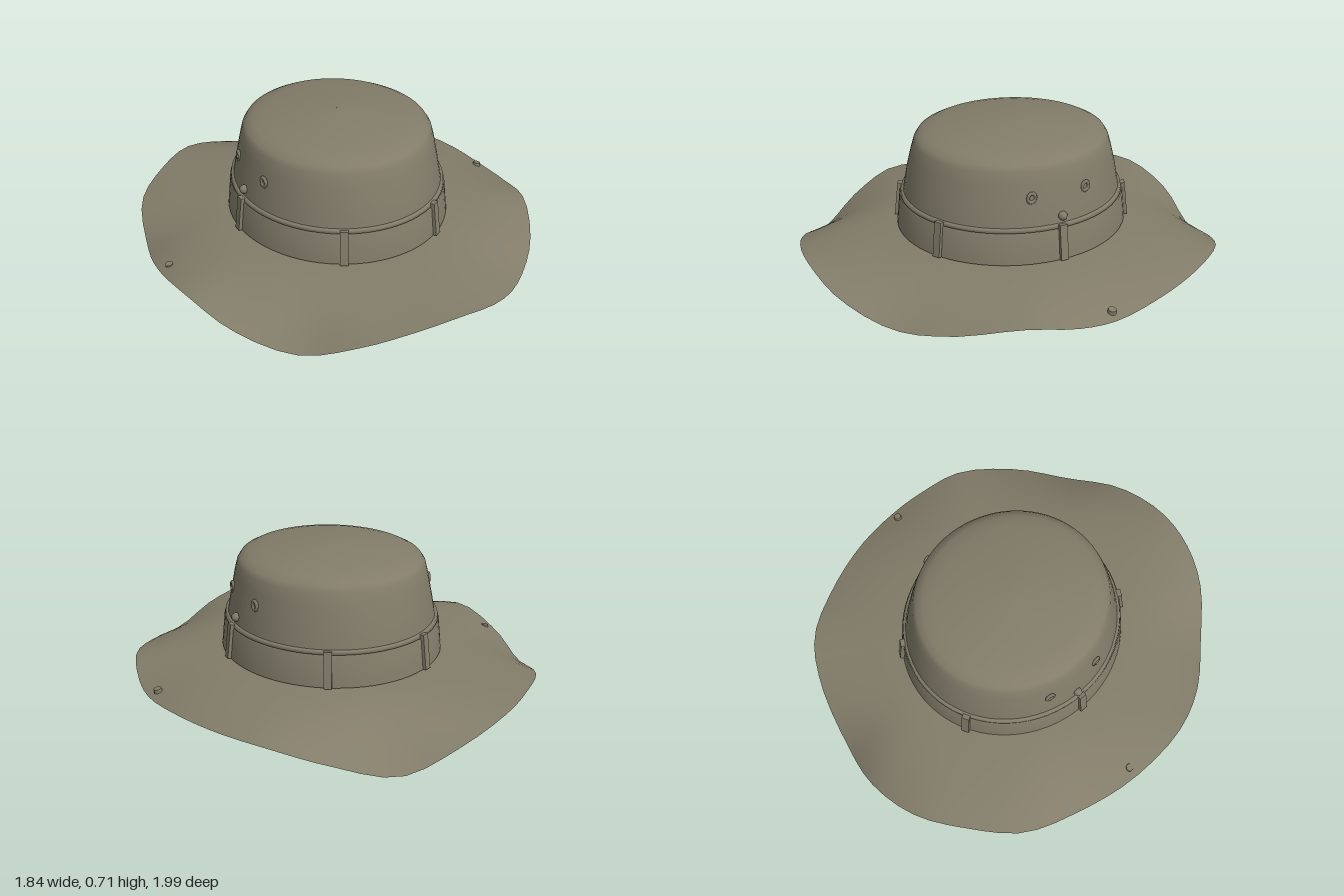
import * as THREE from 'three';

const SEGMENTS = 72;
const CENTRE_Z = -0.015;

// Skin a surface over closed rings of points, listed from the inside (or top) outward.
function loft(rings) {
  const n = rings[0].length, index = [];
  for (let r = 0; r < rings.length - 1; r++) {
    for (let i = 0; i < n; i++) {
      const j = (i + 1) % n;
      const a = r * n + i, b = r * n + j, c = a + n, d = b + n;
      index.push(a, b, c, c, b, d);
    }
  }
  const geometry = new THREE.BufferGeometry().setFromPoints(rings.flat());
  geometry.setIndex(index);
  geometry.computeVertexNormals();
  return geometry;
}

// Oval ring: y height, half width in x, half depth in z.
function oval(y, rx, rz) {
  return Array.from({ length: SEGMENTS }, (_, i) => {
    const a = (i / SEGMENTS) * Math.PI * 2;
    return new THREE.Vector3(Math.cos(a) * rx, y, CENTRE_Z + Math.sin(a) * rz);
  });
}

// Drooping brim edge as x, y, z, from the left side round by the front.
const EDGE = [
  [0.91, 0.12, 0.13], [0.86, 0.15, 0.35], [0.7, 0.1, 0.61], [0.5, 0.07, 0.79],
  [0.26, 0.13, 0.94], [0, 0.18, 0.99], [-0.21, 0.17, 0.97], [-0.41, 0.12, 0.89],
  [-0.61, 0.04, 0.72], [-0.8, 0.09, 0.5], [-0.9, 0.15, 0.26], [-0.92, 0.11, -0.05],
  [-0.87, 0.07, -0.32], [-0.78, 0.13, -0.6], [-0.6, 0.16, -0.79], [-0.39, 0.16, -0.94],
  [-0.13, 0.09, -1], [0.13, 0, -0.97], [0.42, 0.08, -0.89], [0.62, 0.14, -0.77],
  [0.77, 0.14, -0.54], [0.87, 0.13, -0.29], [0.915, 0.11, -0.05],
];

export function createModel() {
  const hat = new THREE.Group();
  hat.name = 'hat';
  const cloth = new THREE.MeshStandardMaterial({ color: 0x827c69, side: THREE.DoubleSide });
  cloth.name = 'olive cloth';

  const add = (name, geometry, parent = hat) => {
    const mesh = new THREE.Mesh(geometry, cloth);
    mesh.name = name;
    parent.add(mesh);
    return mesh;
  };

  // Wavy brim: flat near the crown, bending to the edge curve further out
  const edge = new THREE.CatmullRomCurve3(EDGE.map((p) => new THREE.Vector3(...p)), true);
  const outer = Array.from({ length: SEGMENTS }, (_, i) => edge.getPoint(i / SEGMENTS));
  const brimPoint = (p, t) => {
    const a = Math.atan2((p.z - CENTRE_Z) / 0.54, p.x / 0.505);
    const x = Math.cos(a) * 0.505, z = CENTRE_Z + Math.sin(a) * 0.54;
    const y = 0.21 - 0.035 * t + (p.y - 0.175) * Math.pow(t, 2.2);
    return new THREE.Vector3(x + (p.x - x) * t, y, z + (p.z - z) * t);
  };
  const steps = [0, 0.12, 0.25, 0.4, 0.55, 0.68, 0.8, 0.9, 1];
  add('brim', loft(steps.map((t) => outer.map((p) => brimPoint(p, t)))));

  // Crown: domed top, rounded shoulder and sloping wall, open underneath
  add('crown', loft([
    oval(0.708, 0.001, 0.001), oval(0.705, 0.1, 0.1), oval(0.693, 0.22, 0.23),
    oval(0.677, 0.33, 0.35), oval(0.662, 0.385, 0.41), oval(0.645, 0.418, 0.442),
    oval(0.62, 0.434, 0.458), oval(0.57, 0.446, 0.473), oval(0.48, 0.463, 0.496),
    oval(0.38, 0.482, 0.515), oval(0.205, 0.505, 0.54),
  ]));

  // Hat band with a thin piping along the top
  add('band', loft([
    oval(0.36, 0.48, 0.515), oval(0.355, 0.5, 0.535), oval(0.215, 0.515, 0.55),
  ]));
  add('bandPiping', loft([
    oval(0.38, 0.48, 0.513), oval(0.378, 0.494, 0.527),
    oval(0.362, 0.497, 0.53), oval(0.356, 0.485, 0.518),
  ]));

  // Six upright loops holding the band
  const loops = new THREE.Group();
  loops.name = 'bandLoops';
  hat.add(loops);
  for (const degrees of [0, 62, 118, 180, 242, 298]) {
    const a = THREE.MathUtils.degToRad(degrees);
    const holder = new THREE.Group();
    holder.position.set(Math.cos(a) * 0.504, 0.297, CENTRE_Z + Math.sin(a) * 0.539);
    holder.rotation.y = Math.PI / 2 - a;
    loops.add(holder);
    add('bandLoop', new THREE.BoxGeometry(0.036, 0.165, 0.034), holder).rotation.x = -0.12;
  }

  // Vents, rivets and brim snaps, mirrored on both sides
  for (const side of [1, -1]) {
    const label = side > 0 ? 'left' : 'right';
    for (const z of [0.11, -0.16]) {
      const k = Math.sqrt(1 - ((z - CENTRE_Z) / 0.49) ** 2);
      const vent = add(`${label}Vent`, new THREE.TorusGeometry(0.018, 0.008, 6, 10));
      vent.scale.y = 1.2;
      vent.position.set(side * 0.46 * k, 0.51, z);
      vent.rotation.y = side * (Math.PI / 2 - z * 1.1 * side * side);
    }
    const rivet = add(`${label}Rivet`, new THREE.SphereGeometry(0.021, 10, 8));
    rivet.position.set(side * 0.482, 0.412, -0.025);

    const snap = add(`${label}BrimSnap`, new THREE.CylinderGeometry(0.018, 0.021, 0.024, 10));
    snap.position.set(side * 0.87, side > 0 ? 0.132 : 0.128, side > 0 ? -0.05 : -0.02);
    snap.rotation.z = -side * 0.2;
  }
  return hat;
}
